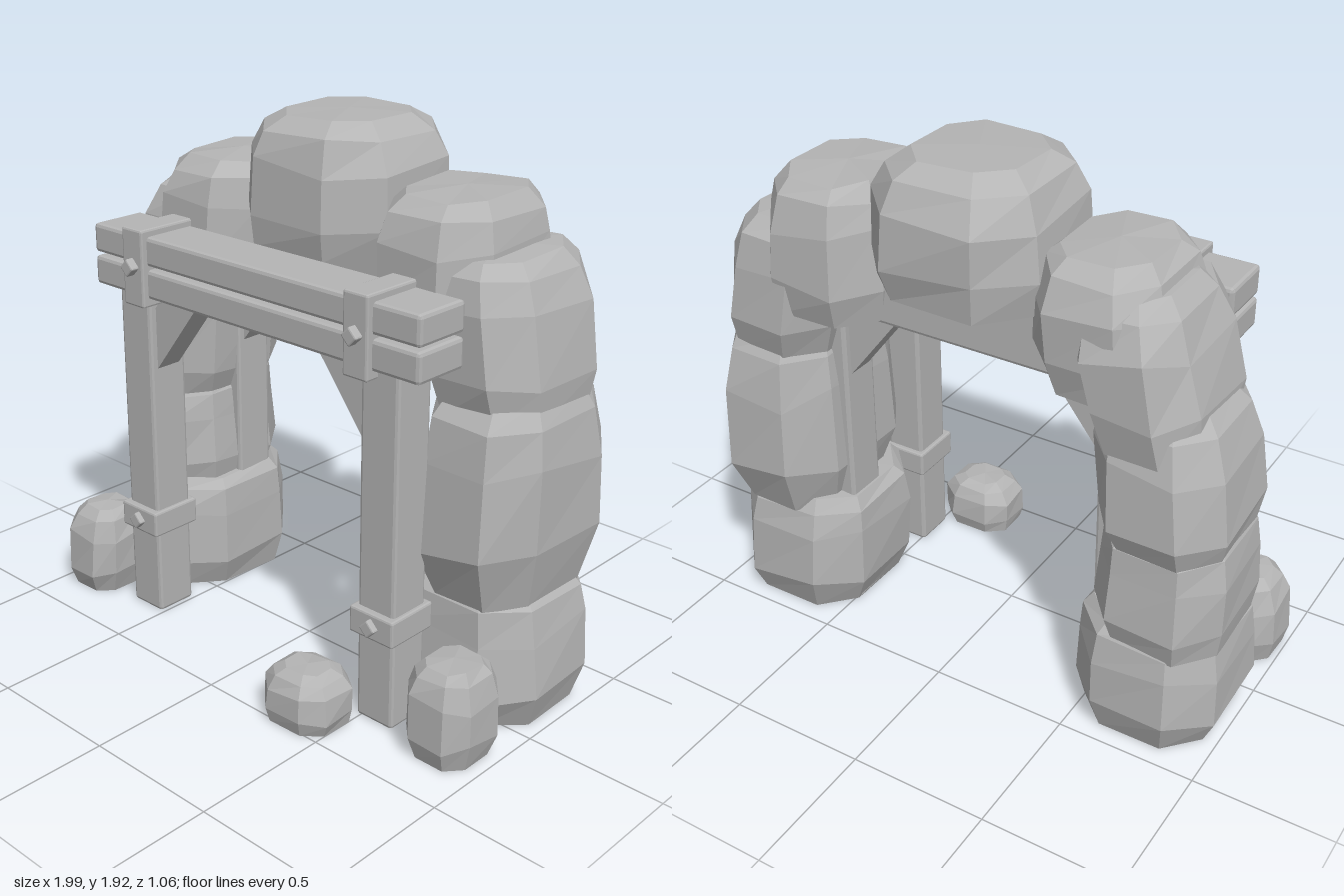
import * as THREE from 'three';
import { RoundedBoxGeometry } from 'three/addons/geometries/RoundedBoxGeometry.js';

const stone = new THREE.MeshStandardMaterial({ color: 0xb4b4b4, flatShading: true });
stone.name = 'grey';

function seeded(seed) {
  let s = seed * 7919 + 17;
  return () => ((s = (s * 16807) % 2147483647) / 2147483647);
}

// Faceted boulder filling a box: eight-sided rings stacked upwards, then capped
function boulder(name, [x0, x1], [y0, y1], [z0, z1], { foot = 0.82, top = 0.66, lean = 0, seed = 1 } = {}) {
  const rnd = seeded(seed);
  for (let i = 0; i < 5; i++) rnd();
  const N = 8, c = 0.52;
  const outline = [[1, c], [c, 1], [-c, 1], [-1, c], [-1, -c], [-c, -1], [c, -1], [1, -c]];
  const levels = [[0, foot], [0.25, 1], [0.66, 0.97], [0.88, (top + 1) / 2 + 0.02], [1, top]];
  const cx = (x0 + x1) / 2, cz = (z0 + z1) / 2, w = (x1 - x0) / 2, d = (z1 - z0) / 2, h = y1 - y0;
  const pos = [], idx = [];
  levels.forEach(([t, s], k) => {
    for (const [px, pz] of outline) {
      const f = s * (1 - 0.06 * rnd());
      const dy = k === 0 ? 0 : k === 4 ? -0.04 * rnd() : 0.1 * (rnd() - 0.5);
      pos.push(cx + px * f * w + lean * (t - 0.25), y0 + h * (t + dy * (k === 3 ? 0.4 : 1)), cz + pz * f * d);
    }
  });
  for (let k = 0; k < levels.length - 1; k++) {
    for (let i = 0; i < N; i++) {
      const a = k * N + i, b = k * N + (i + 1) % N;
      idx.push(a, a + N, b, b, a + N, b + N);
    }
  }
  const low = pos.length / 3, high = low + 1, last = (levels.length - 1) * N;
  pos.push(cx - lean * 0.25, y0, cz, cx + lean * 0.75, y1, cz);
  for (let i = 0; i < N; i++) {
    const j = (i + 1) % N;
    idx.push(low, i, j, high, last + j, last + i);
  }
  const g = new THREE.BufferGeometry();
  g.setAttribute('position', new THREE.Float32BufferAttribute(pos, 3));
  g.setIndex(idx);
  g.computeVertexNormals();
  const m = new THREE.Mesh(g, stone);
  m.name = name;
  return m;
}

// Slightly bevelled block given by its extents
function block(name, [x0, x1], [y0, y1], [z0, z1], bevel = 0.012) {
  const m = new THREE.Mesh(new RoundedBoxGeometry(x1 - x0, y1 - y0, z1 - z0, 1, bevel), stone);
  m.position.set((x0 + x1) / 2, (y0 + y1) / 2, (z0 + z1) / 2);
  m.name = name;
  return m;
}

// Diamond-set square bolt head
function bolt(x, y, z) {
  const m = block('bolt', [-0.024, 0.024], [-0.024, 0.024], [-0.03, 0.03], 0.006);
  m.position.set(x, y, z);
  m.rotation.z = Math.PI / 4;
  return m;
}

// Diagonal brace between post and beam; side is +1 or -1
function brace(postX, side, z) {
  const s = new THREE.Shape();
  s.moveTo(0, 0);
  s.lineTo(0.225, 0.29);
  s.lineTo(0.05, 0.29);
  s.lineTo(-0.04, 0.18);
  s.lineTo(-0.04, 0);
  const g = new THREE.ExtrudeGeometry(s, { depth: 0.1, bevelEnabled: false });
  g.translate(0, 0, -0.05);
  if (side > 0) g.rotateY(Math.PI);
  const m = new THREE.Mesh(g, stone);
  m.position.set(postX, 0.98, z);
  m.name = 'brace';
  return m;
}

// Two braced posts with lintel beams, centred on depth z
function frame(name, z, beamEnds, beams) {
  const f = new THREE.Group();
  f.name = name;
  for (const [x, side] of [[-0.587, -1], [0.56, 1]]) {
    f.add(block('post', [x - 0.077, x + 0.077], [0, 1.3], [z - 0.08, z + 0.08]));
    f.add(brace(x - side * 0.077, side, z));
  }
  for (const heights of beams) {
    f.add(block('lintelBeam', beamEnds, heights, [z - 0.108, z + 0.108], 0.014));
  }
  return f;
}

export function createModel() {
  const model = new THREE.Group();
  model.name = 'stoneArchway';

  // Boulder arch
  const arch = new THREE.Group();
  arch.name = 'boulderArch';
  arch.add(
    boulder('leftBase', [0.43, 0.995], [0, 0.49], [-0.485, 0.11], { seed: 2, foot: 0.84, top: 0.78, lean: -0.03 }),
    boulder('leftMiddle', [0.5, 0.98], [0.44, 1.16], [-0.53, 0.15], { seed: 3, top: 0.74, foot: 0.8 }),
    boulder('leftUpper', [0.49, 0.94], [1.07, 1.59], [-0.505, 0.11], { seed: 4, lean: -0.08, foot: 0.86, top: 0.7 }),
    boulder('leftShoulder', [0.27, 0.75], [1.27, 1.75], [-0.5, 0.12], { seed: 5, foot: 0.88, top: 0.68 }),
    boulder('keystone', [-0.34, 0.31], [1.47, 1.92], [-0.54, 0.12], { seed: 7, foot: 0.92, top: 0.6 }),
    boulder('rightShoulder', [-0.76, -0.28], [1.27, 1.72], [-0.485, 0.12], { seed: 8, foot: 0.88, lean: 0.03 }),
    boulder('rightUpper', [-0.88, -0.47], [1.13, 1.64], [-0.505, 0.11], { seed: 9, foot: 0.86, lean: 0.1, top: 0.62 }),
    boulder('rightMiddle', [-0.99, -0.52], [0.74, 1.28], [-0.49, 0.11], { seed: 10, lean: 0.05, top: 0.66 }),
    boulder('rightLower', [-1, -0.52], [0.39, 0.83], [-0.475, 0.11], { seed: 11, foot: 0.9, top: 0.8 }),
    boulder('rightBase', [-1, -0.455], [0, 0.46], [-0.485, 0.12], { seed: 12, foot: 0.86, top: 0.8 })
  );
  model.add(arch);

  // Loose stones at the front
  model.add(
    boulder('looseStoneRight', [-1, -0.73], [0, 0.345], [0.1, 0.38], { seed: 13, top: 0.55, lean: 0.02 }),
    boulder('looseStoneLeft', [0.71, 0.98], [0, 0.345], [0.08, 0.37], { seed: 14, top: 0.62 }),
    boulder('looseStoneSmall', [0.22, 0.52], [0, 0.2], [0.27, 0.53], { seed: 15, top: 0.5, foot: 0.9 })
  );

  // Front frame with a doubled lintel, and a plainer one among the boulders
  const front = frame('frontFrame', 0.2, [-0.76, 0.737], [[1.26, 1.366], [1.378, 1.484]]);
  model.add(front, frame('rearFrame', -0.23, [-0.66, 0.64], [[1.26, 1.47]]));

  // Straps around the lintel and cuffs around the posts
  for (const x of [-0.528, 0.501]) {
    front.add(block('lintelStrap', [x - 0.051, x + 0.051], [1.23, 1.51], [0.08, 0.332], 0.008));
    front.add(bolt(x, 1.375, 0.332));
  }
  for (const x of [-0.587, 0.56]) {
    front.add(block('postCuff', [x - 0.093, x + 0.093], [0.325, 0.422], [0.1, 0.305], 0.008));
    front.add(bolt(x, 0.373, 0.297));
  }
  return model;
}
